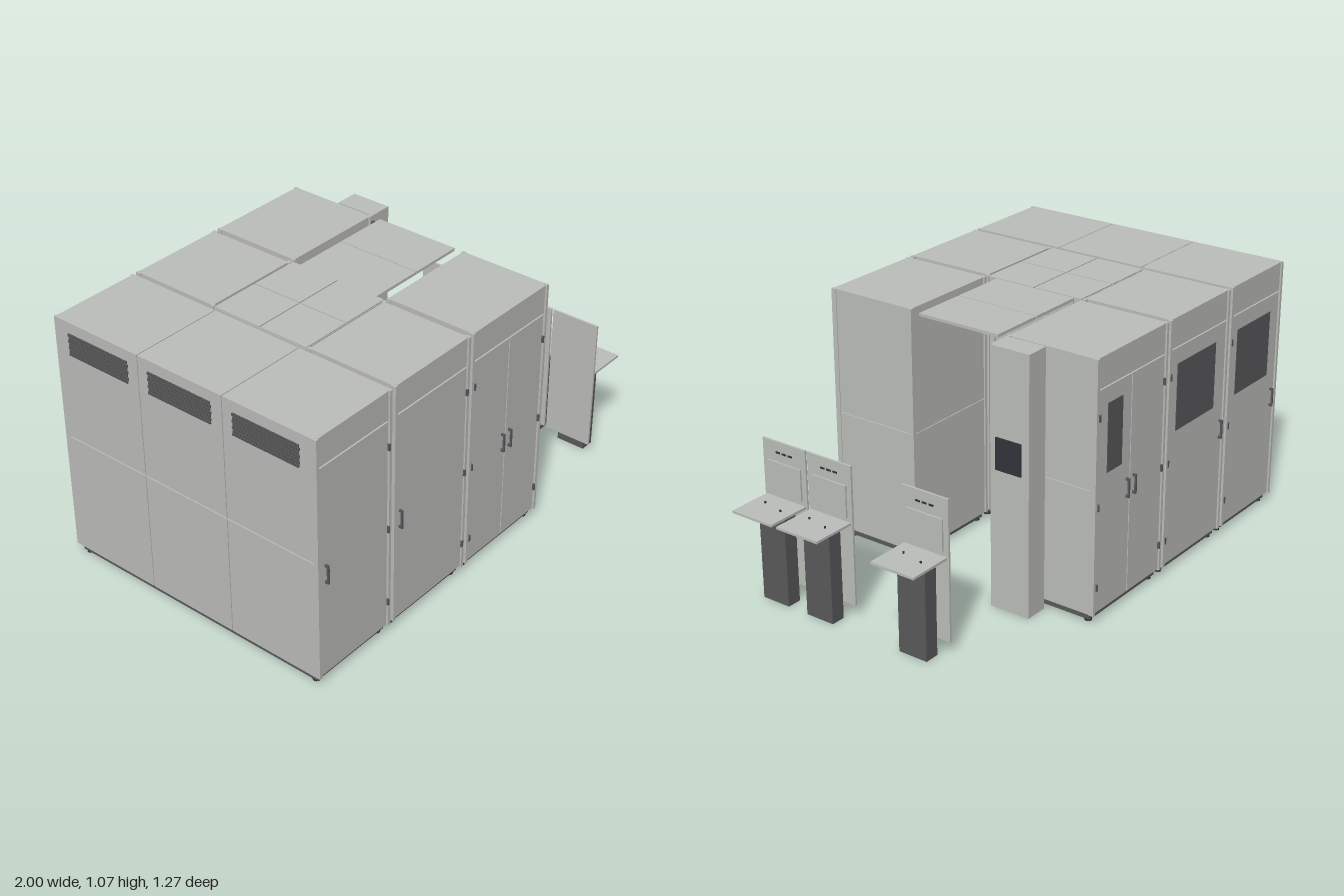
import * as THREE from 'three';
import { mergeGeometries } from 'three/addons/utils/BufferGeometryUtils.js';

const mat = (name, color) => Object.assign(new THREE.MeshStandardMaterial({ color }), { name });

export function createModel() {
  const model = new THREE.Group();
  model.name = 'equipmentEnclosure';
  const panel = mat('panelGrey', 0xbdbfbb);
  const dark = mat('darkGrey', 0x5a5a5c);
  const black = mat('screenBlack', 0x33343c);
  const rubber = mat('footBlack', 0x2a2a2c);

  // box geometry from opposite corners
  const slab = (x0, x1, y0, y1, z0, z1) =>
    new THREE.BoxGeometry(Math.abs(x1 - x0), Math.abs(y1 - y0), Math.abs(z1 - z0))
      .translate((x0 + x1) / 2, (y0 + y1) / 2, (z0 + z1) / 2);
  const add = (parent, name, material, ...geos) => {
    const mesh = new THREE.Mesh(geos.length > 1 ? mergeGeometries(geos) : geos[0], material);
    mesh.name = name;
    parent.add(mesh);
    return mesh;
  };
  const group = (name) => {
    const g = new THREE.Group();
    g.name = name;
    model.add(g);
    return g;
  };

  const TOP = 1.065, FLOOR = 0.037;

  // dark plinth with levelling feet at its corners
  const plinth = (g, x0, x1, z0, z1) => {
    add(g, 'plinth', dark, slab(x0 + 0.012, x1 - 0.012, 0.012, FLOOR, z0 + 0.012, z1 - 0.012));
    const feet = [];
    for (const x of [x0 + 0.03, x1 - 0.03]) for (const z of [z0 + 0.03, z1 - 0.03])
      feet.push(new THREE.CylinderGeometry(0.011, 0.015, 0.014, 12).translate(x, 0.007, z));
    add(g, 'feet', rubber, ...feet);
  };

  // grip bar on two standoffs
  const handle = (g, x, s) => add(g, 'doorHandle', dark,
    slab(x - 0.004, x + 0.004, 0.45, 0.53, s * 0.626, s * 0.633),
    slab(x - 0.004, x + 0.004, 0.45, 0.46, s * 0.614, s * 0.628),
    slab(x - 0.004, x + 0.004, 0.52, 0.53, s * 0.614, s * 0.628));

  // door face of a cabinet: s = 1 front, s = -1 back
  const facade = (g, x0, x1, s, doors, hinges, handles) => {
    add(g, 'headerPanel', panel, slab(x0 + 0.016, x1 - 0.016, 0.947, TOP, s * 0.608, s * 0.617));
    doors.forEach(([a, b]) => add(g, 'door', panel, slab(a, b, 0.043, 0.94, s * 0.608, s * 0.617)));
    add(g, 'cornerPosts', panel,
      slab(x0, x0 + 0.013, FLOOR, TOP, s * 0.6, s * 0.622),
      slab(x1 - 0.013, x1, FLOOR, TOP, s * 0.6, s * 0.622));
    hinges.forEach((x) => add(g, 'hinges', dark, ...[0.15, 0.48, 0.835].map((y) =>
      slab(x - 0.004, x + 0.004, y - 0.014, y + 0.014, s * 0.612, s * 0.625))));
    handles.forEach((x) => handle(g, x, s));
  };

  const columns = [
    { name: 'leftEnd', x0: -0.993, x1: -0.597, doors: [[-0.975, -0.615]], hinges: [-0.611], handles: [-0.95], win: [-0.91, -0.655] },
    { name: 'middle', x0: -0.58, x1: -0.153, doors: [[-0.563, -0.168]], hinges: [-0.165], handles: [-0.545], win: [-0.49, -0.215] },
    { name: 'rightEnd', x0: -0.138, x1: 0.326, doors: [[-0.122, 0.092], [0.097, 0.308]], hinges: [-0.12, 0.307], handles: [0.072, 0.117], win: [0.155, 0.25] },
  ];

  columns.forEach((c, i) => {
    const long = i === 0;
    const g = group(c.name + 'Cabinets');
    if (long) { // one deep cabinet with three roof panels
      add(g, 'cabinetBody', panel, slab(c.x0 + 0.005, c.x1, FLOOR, TOP - 0.004, -0.61, 0.61));
      plinth(g, c.x0, c.x1, -0.61, 0.61);
      add(g, 'roofPanels', panel, ...[[-0.61, -0.203], [-0.199, 0.199], [0.203, 0.61]].map(([a, b]) =>
        slab(c.x0, c.x1, TOP - 0.005, TOP, a, b)));
      add(g, 'sidePanels', panel, ...[[-0.61, -0.203], [-0.199, 0.199], [0.203, 0.61]].flatMap(([a, b]) =>
        [slab(c.x0, c.x0 + 0.006, FLOOR, 0.547, a, b), slab(c.x0, c.x0 + 0.006, 0.552, TOP, a, b)]));
    }
    for (const s of [1, -1]) {
      if (!long) {
        const [z0, z1] = s > 0 ? [0.232, 0.61] : [-0.61, -0.232];
        add(g, 'cabinetBody', panel, slab(c.x0 + 0.004, c.x1 - 0.008, FLOOR, TOP, z0, z1));
        plinth(g, c.x0, c.x1, z0, z1);
        add(g, 'innerPosts', panel,
          slab(c.x0, c.x0 + 0.013, FLOOR, TOP, s * 0.224, s * 0.24),
          slab(c.x1 - 0.013, c.x1 + 0.002, FLOOR, TOP, s * 0.224, s * 0.24));
        // seamed panels on the exposed right side and the corridor walls
        if (i === 2) add(g, 'wallPanels', panel, ...[[FLOOR, 0.547], [0.552, TOP]].flatMap(([a, b]) => [
          slab(c.x1 - 0.009, c.x1 - 0.003, a, b, s * 0.242, s * 0.6),
          slab(c.x0 + 0.016, c.x1 - 0.016, a, b, s * 0.228, s * 0.234)]));
      }
      facade(g, c.x0, c.x1, s, c.doors, c.hinges, c.handles);
    }
    // window in the rear door
    add(g, 'rearWindow', dark, slab(c.win[0], c.win[1], 0.6, 0.875, -0.616, -0.62));
  });

  // perforated ventilation grilles on the left sides of the columns
  const grille = (x, z) => {
    const holes = [];
    for (let r = 0; r < 7; r++) for (let k = 0; k < 24; k++) {
      const y = 0.934 + r * 0.0135, zz = z - 0.144 + k * 0.0125 + (r % 2) * 0.003;
      holes.push(slab(x - 0.004, x + 0.002, y - 0.0052, y + 0.0052, zz - 0.005, zz + 0.005));
    }
    return holes;
  };
  const vents = group('ventilation');
  for (const z of [-0.4, 0, 0.4]) add(vents, 'ventGrille', dark, ...grille(-0.996, z));
  for (const x of [-0.586, -0.144]) for (const z of [-0.41, 0.39])
    add(vents, 'innerVent', dark, slab(x, x + 0.007, 0.93, 1.02, z - 0.145, z + 0.145));

  // central module between the two middle cabinets
  const core = group('centralModule');
  add(core, 'coreBody', panel, slab(-0.58, -0.155, FLOOR, TOP - 0.005, -0.222, 0.222));
  plinth(core, -0.58, -0.155, -0.222, 0.222);
  add(core, 'coreRoofPanels', panel, ...[-1, 1].flatMap((s) => [
    slab(-0.578, -0.365, TOP - 0.006, TOP, s * 0.003, s * 0.22),
    slab(-0.36, -0.148, TOP - 0.006, TOP, s * 0.003, s * 0.22)]));
  add(core, 'coreFacePanels', panel,
    slab(-0.156, -0.148, 0.96, 1.058, -0.183, 0.183),
    slab(-0.156, -0.148, 0.85, 0.955, -0.22, 0.22),
    slab(-0.156, -0.148, 0.462, 0.842, -0.097, 0.097),
    slab(-0.156, -0.148, 0.04, 0.4, -0.097, 0.097),
    slab(-0.156, -0.148, 0.405, 0.44, -0.185, 0.185),
    ...[-1, 1].flatMap((s) => [
      slab(-0.156, -0.148, 0.445, 0.842, s * 0.102, s * 0.185),
      slab(-0.156, -0.148, 0.04, 0.4, s * 0.102, s * 0.185),
      slab(-0.156, -0.148, 0.04, 0.842, s * 0.192, s * 0.21)]));

  // corridor canopy in two sheets
  const corridor = group('corridor');
  add(corridor, 'canopy', panel,
    slab(-0.148, 0.092, 1.05, 1.062, -0.187, 0.182),
    slab(0.096, 0.33, 1.05, 1.062, -0.187, 0.182));
  add(corridor, 'canopyRail', dark, slab(0.318, 0.329, 0.84, 1.045, -0.212, -0.222));

  // control tower with screen
  const tower = group('controlTower');
  add(tower, 'towerBody', panel, slab(0.33, 0.43, 0, TOP, -0.4, -0.225));
  add(tower, 'towerScreen', black, slab(0.43, 0.437, 0.58, 0.71, -0.367, -0.252));

  // free-standing operator stations
  for (const z of [0.447, 0.225, -0.225]) {
    const st = group('operatorStation');
    add(st, 'backBoard', panel, slab(0.804, 0.813, 0.055, 0.63, z - 0.106, z + 0.106));
    add(st, 'displayPanel', panel, slab(0.813, 0.82, 0.417, 0.548, z - 0.083, z + 0.083));
    add(st, 'shelf', panel, slab(0.813, 1.0, 0.39, 0.4, z - 0.099, z + 0.099));
    add(st, 'pillar', dark, slab(0.835, 0.896, 0, 0.39, z - 0.064, z + 0.064));
    add(st, 'switches', black, ...[-0.03, 0, 0.03].map((d) =>
      slab(0.812, 0.816, 0.583, 0.59, z + d - 0.01, z + d + 0.01)));
    add(st, 'buttons', black, ...[[0.9, -0.05], [0.88, 0.045]].map(([x, d]) =>
      new THREE.CylinderGeometry(0.004, 0.004, 0.008, 10).translate(x, 0.403, z + d)));
  }
  return model;
}
